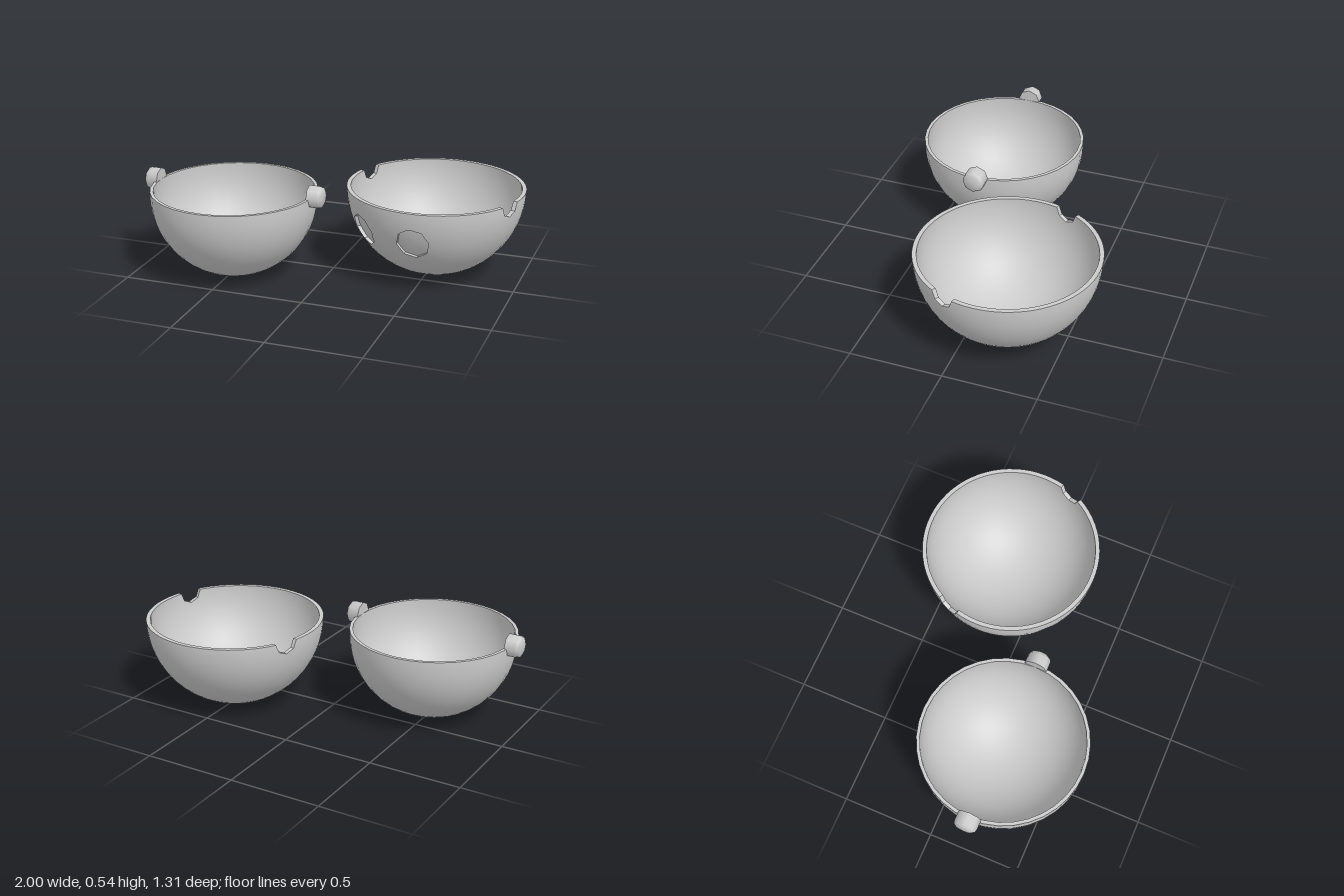
import * as THREE from 'three';
import { toCreasedNormals } from 'three/addons/utils/BufferGeometryUtils.js';

const material = new THREE.MeshStandardMaterial({ color: 0xcccccc });
const RAD = Math.PI / 180;

function add(parent, name, geometry) {
  const mesh = new THREE.Mesh(geometry, material);
  mesh.name = name;
  parent.add(mesh);
  return mesh;
}

// Collects quads (corners counter-clockwise) into a geometry.
// With a centre, normals are radial (bend = 1 outwards, -1 inwards); otherwise flat.
function fromQuads(quads, centre, bend = 1) {
  const pos = quads.flatMap(([a, b, c, d]) => [a, b, c, a, c, d]);
  const geo = new THREE.BufferGeometry().setFromPoints(pos);
  geo.computeVertexNormals();
  if (centre) {
    pos.forEach((p, i) => {
      const n = p.clone().sub(centre).normalize().multiplyScalar(bend);
      geo.attributes.normal.setXYZ(i, n.x, n.y, n.z);
    });
  }
  return geo;
}

// Bowl with two pegs on its rim
function peggedBowl() {
  const bowl = new THREE.Group();
  bowl.name = 'peggedBowl';
  const R = 0.448, inner = 0.43, top = 0.475, steps = 16;
  const profile = [];
  const arc = (r, t) => new THREE.Vector2(r * Math.sin(t), R - r * Math.cos(t));
  for (let i = 0; i <= steps; i++) profile.push(arc(R, (i / steps) * Math.PI / 2));
  profile.push(new THREE.Vector2(R, top), new THREE.Vector2(inner, top));
  for (let i = steps; i >= 0; i--) profile.push(arc(inner, (i / steps) * Math.PI / 2));
  add(bowl, 'bowlShell', toCreasedNormals(new THREE.LatheGeometry(profile, 36), 0.7));

  // Eight-sided pegs with rounded outer ends
  const pegProfile = [[0, 0.43], [0.062, 0.43], [0.062, 0.483], [0.057, 0.498], [0.042, 0.508], [0, 0.51]]
    .map(([r, h]) => new THREE.Vector2(r, h));
  const pegGeometry = toCreasedNormals(new THREE.LatheGeometry(pegProfile, 8).rotateZ(-Math.PI / 2), 1);
  for (const side of [1, -1]) {
    const peg = add(bowl, side > 0 ? 'leftPeg' : 'rightPeg', pegGeometry);
    peg.position.y = 0.477;
    if (side < 0) peg.rotation.y = Math.PI;
  }
  return bowl;
}

// Bowl with two rim notches and two shallow eight-sided recesses
function notchedBowl() {
  const bowl = new THREE.Group();
  bowl.name = 'notchedBowl';
  const R = 0.48, inner = 0.457, floorR = 0.461, rows = 18;
  const centre = new THREE.Vector3(0, R, 0);
  const notches = [68, 248], notchR = 0.065;
  const recesses = [{ az: 0, from: -15, to: 15 }, { az: -43, from: -60, to: -30 }];
  const rowFrom = 10, rowTo = 17, recessY = 0.305, recessR = 0.088;

  // Columns of the wall, with the rim height of each
  const columns = [];
  for (let a = -90; a < 270; a += 5) {
    if (notches.every((n) => Math.abs(a - n) > 9)) columns.push({ az: a, top: R });
  }
  for (const n of notches) {
    for (let k = 0; k <= 4; k++) {
      const t = (k * Math.PI) / 4;
      columns.push({ az: n - Math.asin((notchR * Math.cos(t)) / R) / RAD, top: R - notchR * Math.sin(t) });
    }
  }
  columns.sort((a, b) => a.az - b.az);
  columns.push({ az: columns[0].az + 360, top: columns[0].top });

  const point = (col, row, r) => {
    const phi = (row / rows) * Math.acos((R - col.top) / r), a = col.az * RAD;
    return new THREE.Vector3(r * Math.sin(phi) * Math.sin(a), R - r * Math.cos(phi), r * Math.sin(phi) * Math.cos(a));
  };

  // Wall skins and rim
  const outerQuads = [], innerQuads = [], rimQuads = [];
  for (let j = 0; j < columns.length - 1; j++) {
    const a = columns[j], b = columns[j + 1];
    for (let i = 0; i < rows; i++) {
      const open = i >= rowFrom && i < rowTo && recesses.some((e) => a.az >= e.from && b.az <= e.to);
      if (!open) outerQuads.push([point(a, i, R), point(b, i, R), point(b, i + 1, R), point(a, i + 1, R)]);
      innerQuads.push([point(b, i, inner), point(a, i, inner), point(a, i + 1, inner), point(b, i + 1, inner)]);
    }
    rimQuads.push([point(a, rows, R), point(b, rows, R), point(b, rows, inner), point(a, rows, inner)]);
  }

  // Recesses: stitch each octagon to the gap in the skin, then add its sides and floor
  const sideQuads = [], floorQuads = [];
  for (const e of recesses) {
    const a = e.az * RAD;
    const out = new THREE.Vector3(Math.sin(a), 0, Math.cos(a));
    const across = new THREE.Vector3(Math.cos(a), 0, -Math.sin(a));
    const onSphere = (s, t, r) => {
      const y = recessY + t;
      const depth = Math.sqrt(r * r - s * s - (R - y) ** 2);
      return across.clone().multiplyScalar(s).addScaledVector(out, depth).setY(y);
    };
    const border = [];
    const mark = (az, row) => border.push(point({ az, top: R }, row, R));
    for (let az = e.from; az < e.to; az += 5) mark(az, rowFrom);
    for (let i = rowFrom; i < rowTo; i++) mark(e.to, i);
    for (let az = e.to; az > e.from; az -= 5) mark(az, rowTo);
    for (let i = rowTo; i > rowFrom; i--) mark(e.from, i);

    const octagon = border.map((p) => {
      let angle = Math.atan2(p.y - recessY, p.dot(across)) - 0.15;
      const step = Math.PI / 4, corner = Math.round(angle / step) * step;
      if (Math.abs(angle - corner) < 0.14) angle = corner;
      const fromMiddle = angle - (Math.floor(angle / step) + 0.5) * step;
      const r = (recessR * Math.cos(step / 2)) / Math.cos(fromMiddle);
      return [r * Math.cos(angle + 0.15), r * Math.sin(angle + 0.15)];
    });
    const edge = octagon.map(([s, t]) => onSphere(s, t, R));
    const base = octagon.map(([s, t]) => onSphere(s, t, floorR));
    const middle = onSphere(0, 0, floorR);
    border.forEach((p, k) => {
      const n = (k + 1) % border.length;
      outerQuads.push([p, border[n], edge[n], edge[k]]);
      sideQuads.push([edge[k], edge[n], base[n], base[k]]);
      floorQuads.push([middle, base[k], base[n], middle]);
    });
  }

  add(bowl, 'outerWall', fromQuads(outerQuads, centre));
  add(bowl, 'innerWall', fromQuads(innerQuads, centre, -1));
  add(bowl, 'notchedRim', fromQuads(rimQuads));
  add(bowl, 'recessSides', fromQuads(sideQuads));
  add(bowl, 'recessFloors', fromQuads(floorQuads, centre));
  return bowl;
}

export function createModel() {
  const model = new THREE.Group();
  model.name = 'twoBowls';
  const pegged = peggedBowl();
  pegged.position.set(-0.49, 0, 0.207);
  const notched = notchedBowl();
  notched.position.set(0.52, 0, -0.178);
  model.add(pegged, notched);
  return model;
}
